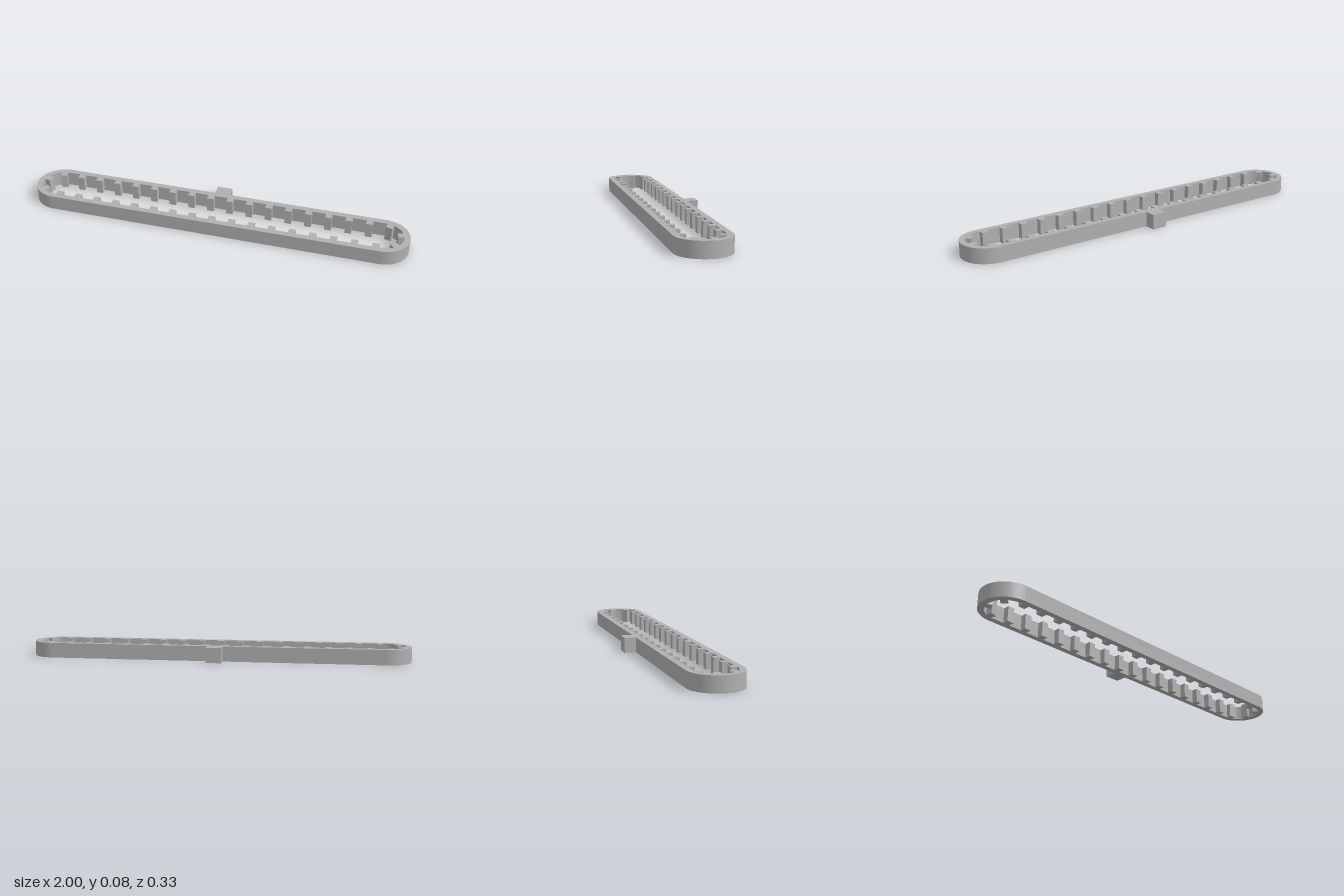
import * as THREE from 'three';
import { toCreasedNormals } from 'three/addons/utils/BufferGeometryUtils.js';

const HEIGHT = 0.078;
const HALF = 0.8665;    // half length of the straight runs
const CZ = 0.03;        // centre line of the loop
const R_OUT = 0.1335;   // outer radius of the rounded ends
const R_IN = 0.1035;    // inner radius of the rounded ends
const PITCH = 0.105;    // tooth spacing
const TOOTH_W = 0.035;
const TOOTH_D = 0.031;

// Rounded slot outline; shape y becomes -z
function slot(path, r) {
  path.moveTo(-HALF, -CZ - r);
  path.lineTo(HALF, -CZ - r);
  path.absarc(HALF, -CZ, r, -Math.PI / 2, Math.PI / 2, false);
  path.lineTo(-HALF, -CZ + r);
  path.absarc(-HALF, -CZ, r, Math.PI / 2, Math.PI * 1.5, false);
  return path;
}

export function createModel() {
  const model = new THREE.Group();
  model.name = 'toothedBelt';
  const grey = new THREE.MeshStandardMaterial({ color: 0xb0b0b0 });
  grey.name = 'grey';

  // Belt loop
  const shape = slot(new THREE.Shape(), R_OUT);
  shape.holes.push(slot(new THREE.Path(), R_IN));
  const loop = new THREE.ExtrudeGeometry(shape, { depth: HEIGHT, bevelEnabled: false, curveSegments: 32 });
  loop.rotateX(-Math.PI / 2);
  const belt = new THREE.Mesh(toCreasedNormals(loop, Math.PI / 6), grey);
  belt.name = 'belt';
  model.add(belt);

  // Inner teeth, rooted slightly inside the belt
  const teeth = new THREE.Group();
  teeth.name = 'teeth';
  model.add(teeth);
  const root = 0.002;
  const toothGeo = new THREE.BoxGeometry(TOOTH_W, HEIGHT, TOOTH_D + root);
  toothGeo.translate(0, HEIGHT / 2, -R_IN + (TOOTH_D - root) / 2);
  // Angle 0 puts the tooth on the back run, PI on the front run
  function addTooth(x, angle) {
    const tooth = new THREE.Mesh(toothGeo, grey);
    tooth.name = 'tooth';
    tooth.position.set(x, 0, CZ);
    tooth.rotation.y = angle;
    teeth.add(tooth);
  }
  for (let k = -8; k <= 8; k++) addTooth(k * PITCH, Math.PI);
  for (let k = -7.5; k <= 7.5; k++) addTooth(k * PITCH, 0);
  for (const side of [-1, 1]) {
    for (const a of [0.27, 1.3, 2.34]) addTooth(side * HALF, -side * a);
  }

  // Block on the back of the belt
  const blockDepth = 0.0595;
  const block = new THREE.Mesh(new THREE.BoxGeometry(0.08, HEIGHT, blockDepth), grey);
  block.name = 'clampBlock';
  block.position.set(-0.002, HEIGHT / 2, CZ - R_OUT - blockDepth / 2);
  model.add(block);

  return model;
}
